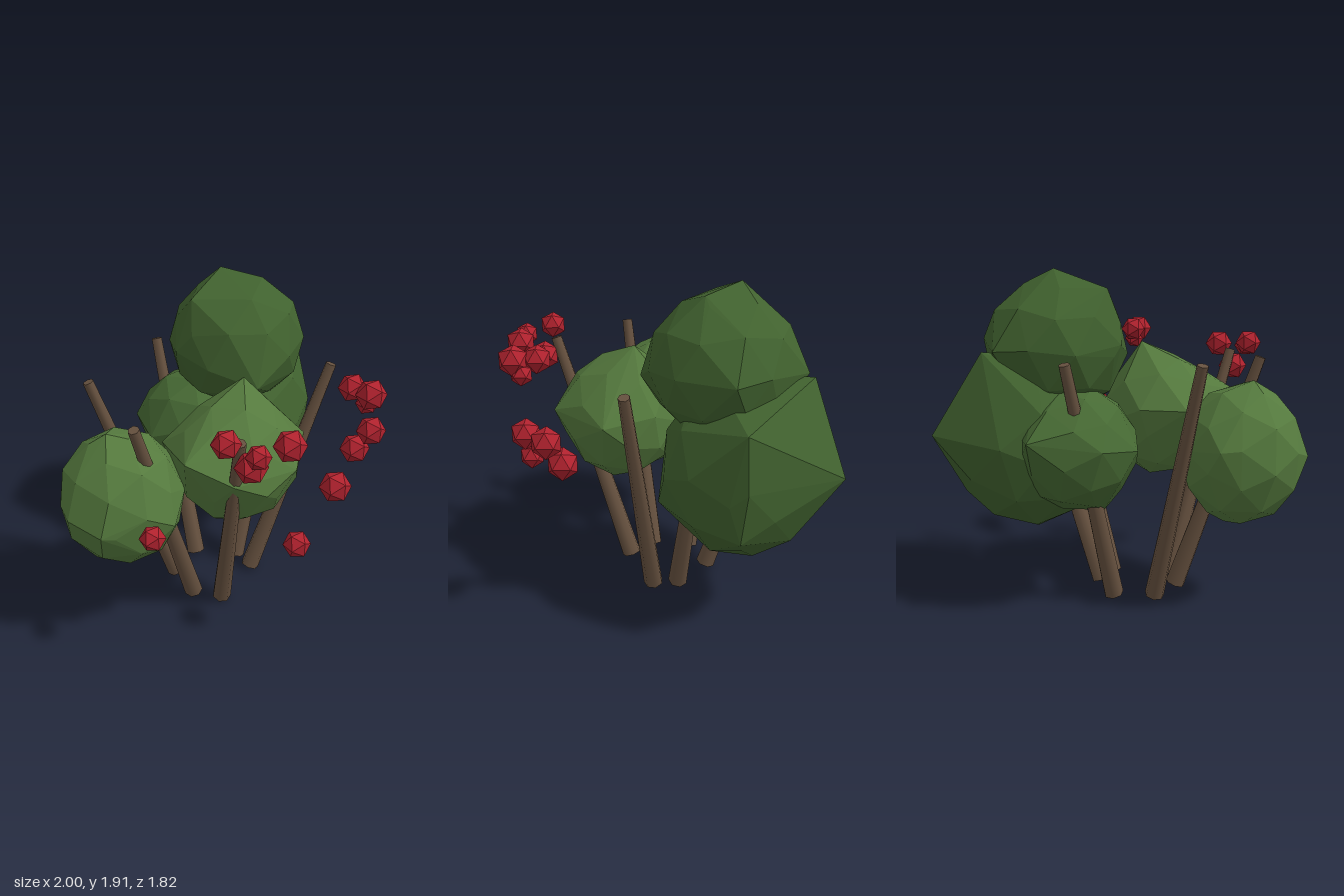
import * as THREE from 'three';
import { ConvexGeometry } from 'three/addons/geometries/ConvexGeometry.js';

const mat = (color, flatShading = true) => new THREE.MeshStandardMaterial({ color, flatShading });

// Faceted clump: hull around a turned low-poly ellipsoid and a few outstanding corners
function makeClump(name, color, centre, half, turn, corners) {
  const core = new THREE.IcosahedronGeometry(1, 1);
  core.rotateX(turn);
  core.rotateY(turn * 2);
  core.scale(...half);
  core.translate(...centre);
  const pos = core.attributes.position;
  const points = corners.map((c) => new THREE.Vector3(...c));
  for (let i = 0; i < pos.count; i++) points.push(new THREE.Vector3().fromBufferAttribute(pos, i));
  const clump = new THREE.Mesh(new ConvexGeometry(points), mat(color));
  clump.name = name;
  return clump;
}

// Tapered stem between two points
function makeStem(from, to, material) {
  const a = new THREE.Vector3(...from), b = new THREE.Vector3(...to);
  const dir = b.clone().sub(a);
  const stem = new THREE.Mesh(new THREE.CylinderGeometry(0.032, 0.058, dir.length(), 7), material);
  stem.position.copy(a).add(b).multiplyScalar(0.5);
  stem.quaternion.setFromUnitVectors(new THREE.Vector3(0, 1, 0), dir.normalize());
  return stem;
}

export function createModel() {
  const model = new THREE.Group();
  model.name = 'berryBush';

  // Splayed stems: foot, tip
  const bark = mat(0x66513f, false);
  const stems = new THREE.Group();
  stems.name = 'stems';
  [
    [[0.26, 0.015, 0.06], [0.72, 1.41, 0.20]],
    [[-0.07, 0.015, 0.20], [-0.28, 1.41, 0.64]],
    [[-0.19, 0.015, 0.06], [-0.65, 1.41, 0.22]],
    [[-0.17, 0.015, -0.17], [-0.58, 1.41, -0.41]],
    [[0.05, 0.015, -0.27], [0.07, 1.41, -0.72]],
    [[0.25, 0.015, -0.09], [0.68, 1.41, -0.22]],
  ].forEach(([foot, tip], i) => {
    const stem = makeStem(foot, tip, bark);
    stem.name = `stem${i + 1}`;
    stems.add(stem);
  });
  model.add(stems);

  // Leaf clumps: centre, half sizes, turn, outstanding corners
  const leaves = new THREE.Group();
  leaves.name = 'leaves';
  leaves.add(
    makeClump('lowerLeftClump', 0x41622f, [0.52, 0.93, -0.43], [0.46, 0.51, 0.45], 0.4, [
      [0.82, 1.0, -0.92], [0.57, 1.46, -0.78], [0.5, 0.4, -0.38], [0.997, 1.0, -0.41],
      [0.96, 1.3, -0.4], [0.98, 0.71, -0.38], [0.5, 0.7, 0.03],
    ]),
    makeClump('topClump', 0x41622f, [0.4, 1.47, -0.32], [0.42, 0.4, 0.41], 0.9, [
      [0.345, 1.91, -0.41], [0.505, 1.87, -0.21], [0.853, 1.5, -0.35], [0.06, 1.8, -0.3],
      [-0.04, 1.49, -0.32], [0.23, 1.35, 0.126], [0.51, 1.46, -0.76],
    ]),
    makeClump('rightClump', 0x557a3e, [-0.63, 0.88, 0.01], [0.36, 0.4, 0.36], 0.2, [
      [-0.7, 1.3, 0.0], [-1.0, 0.89, 0.07], [-0.51, 0.455, 0.05], [-0.67, 0.95, -0.37],
      [-0.52, 0.85, 0.39], [-0.91, 0.85, 0.27],
    ]),
    makeClump('frontClump', 0x557a3e, [0.0, 1.03, 0.24], [0.37, 0.38, 0.35], 0.6, [
      [0.1, 1.48, 0.16], [-0.435, 1.19, 0.36], [0.42, 1.1, 0.33], [-0.08, 1.0, 0.626],
      [0.12, 1.1, 0.626], [-0.265, 1.1, 0.58], [-0.32, 1.1, -0.05], [-0.05, 1.1, -0.13],
    ]),
    makeClump('backClump', 0x476a34, [0.17, 0.91, -0.45], [0.33, 0.35, 0.37], 1.3, [
      [-0.19, 0.92, -0.4], [-0.13, 0.95, -0.67], [0.21, 1.0, -0.88],
      [0.03, 0.56, -0.4], [0.32, 0.57, -0.4],
    ]),
  );
  model.add(leaves);

  // Berries: x, y, z, radius
  const red = mat(0xb0222e);
  const berries = new THREE.Group();
  berries.name = 'berries';
  [
    [-0.725, 0.92, 0.495, 0.072],
    [-0.39, 1.455, 0.67, 0.08],
    [-0.305, 1.425, 0.82, 0.068],
    [-0.265, 1.30, 0.715, 0.09],
    [-0.115, 1.43, 0.83, 0.088],
    [0.005, 0.75, 0.79, 0.078],
    [0.272, 1.015, 0.775, 0.091],
    [0.447, 1.52, 0.66, 0.079],
    [0.47, 1.52, 0.78, 0.086],
    [0.485, 1.45, 0.74, 0.063],
    [0.647, 1.01, 0.53, 0.09],
    [0.688, 1.15, 0.605, 0.088],
  ].forEach(([x, y, z, r], i) => {
    const berry = new THREE.Mesh(new THREE.IcosahedronGeometry(r, 0), red);
    berry.name = `berry${i + 1}`;
    berry.position.set(x, y, z);
    berries.add(berry);
  });
  model.add(berries);

  return model;
}
